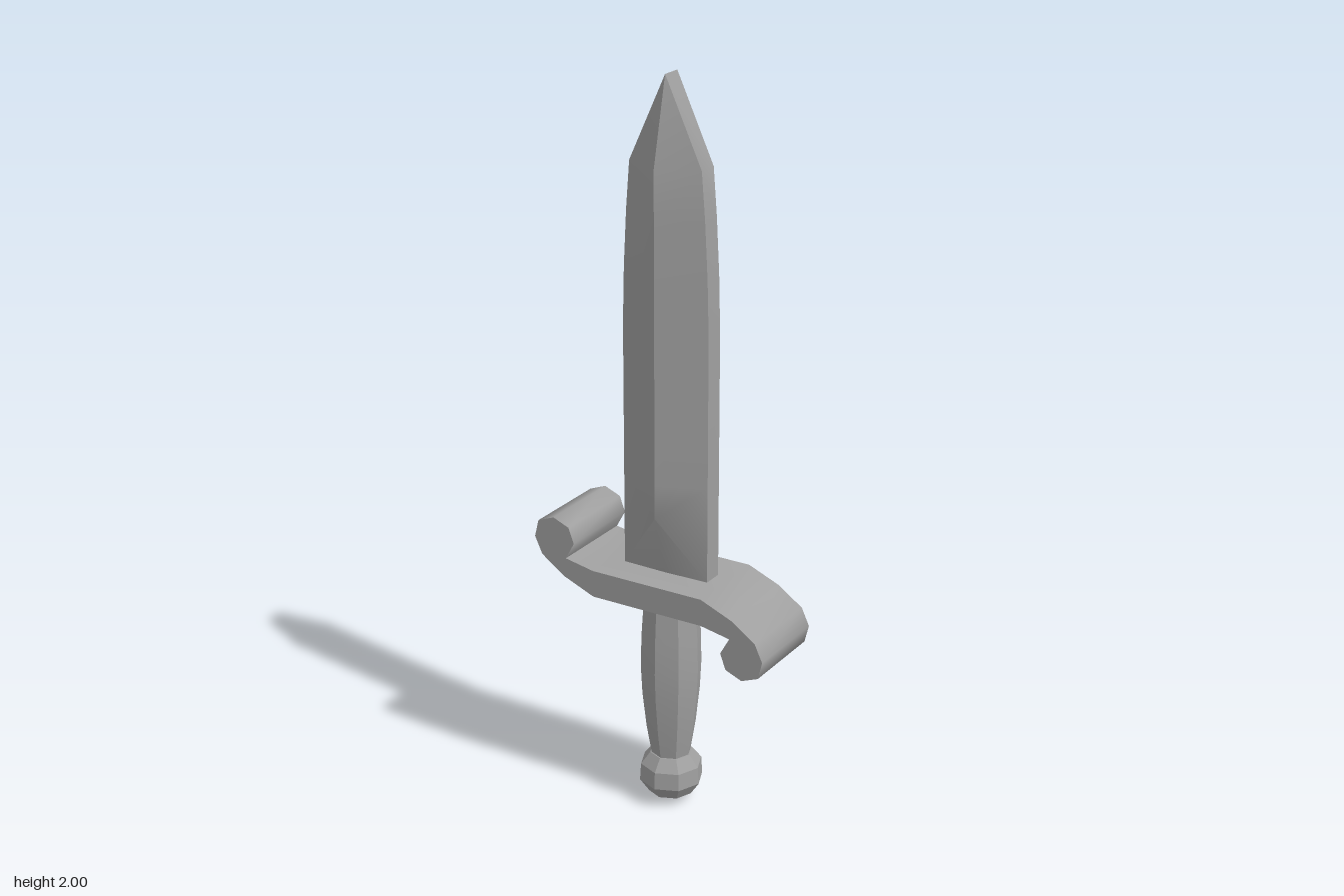
import * as THREE from 'three';
import { toCreasedNormals } from 'three/addons/utils/BufferGeometryUtils.js';

const steel = new THREE.MeshStandardMaterial({ color: 0x9f9f9f });

// Bends below the crease angle are shaded smooth, sharper ones stay crisp
function part(name, geometry, crease) {
  const mesh = new THREE.Mesh(toCreasedNormals(geometry, crease), steel);
  mesh.name = name;
  return mesh;
}

// Six-sided blade: rows of [edge height, ridge height, half width, half depth]
function bladeGeometry() {
  const e = 0.028; // half thickness of the blunt edges
  const rows = [
    [0.67, 0.68, 0.126, 0.03],
    [0.685, 0.855, 0.126, 0.081],
    [0.95, 0.95, 0.126, 0.081],
    [1.35, 1.35, 0.126, 0.081],
    [1.5, 1.5, 0.122, 0.081],
    [1.65, 1.65, 0.114, 0.081],
    [1.775, 1.775, 0.104, 0.081],
    [2.0, 2.0, 0, e],
  ];
  const pos = [];
  for (const [ey, ry, w, r] of rows) {
    pos.push(0, ry, r, w, ey, e, w, ey, -e, 0, ry, -r, -w, ey, -e, -w, ey, e);
  }
  const index = [];
  for (let j = 0; j < rows.length - 1; j++) {
    for (let i = 0; i < 6; i++) {
      const a = j * 6 + i, b = j * 6 + (i + 1) % 6;
      // split mirrored on alternate sides so the ridge stays symmetrical
      if (i === 0 || i === 3) index.push(a, b, b + 6, a, b + 6, a + 6);
      else index.push(a, b, a + 6, b, b + 6, a + 6);
    }
  }
  const g = new THREE.BufferGeometry();
  g.setAttribute('position', new THREE.Float32BufferAttribute(pos, 3));
  g.setIndex(index);
  return g;
}

// S-shaped guard: one half of the outline, repeated by a half turn
function guardGeometry() {
  const half = [
    [0.164, 0.037], [0.255, 0], [0.324, -0.048], [0.346, -0.095], [0.334, -0.143],
    [0.286, -0.162], [0.239, -0.143], [0.223, -0.1], [0.249, -0.053], [0.164, -0.037],
  ];
  const outline = [...half, ...half.map(([x, y]) => [-x, -y])];
  const shape = new THREE.Shape(outline.map(([x, y]) => new THREE.Vector2(x, y)));
  const g = new THREE.ExtrudeGeometry(shape, { depth: 0.248, bevelEnabled: false });
  return g.translate(0, 0.648, -0.124);
}

// Eight-sided turned part from [radius, height] pairs
function turned(profile) {
  return new THREE.LatheGeometry(profile.map(([r, y]) => new THREE.Vector2(r, y)), 8);
}

export function createModel() {
  const group = new THREE.Group();
  group.name = 'dagger';
  group.add(
    part('blade', bladeGeometry(), 0.52),
    part('guard', guardGeometry(), 1.15),
    part('grip', turned([
      [0.053, 0.135], [0.068, 0.225], [0.079, 0.325], [0.083, 0.405], [0.081, 0.495], [0.073, 0.62],
    ]), 0.5),
    part('pommel', turned([
      [0, 0], [0.062, 0.025], [0.087, 0.062], [0.084, 0.11], [0.058, 0.143], [0, 0.143],
    ]), 0.5),
  );
  return group;
}
